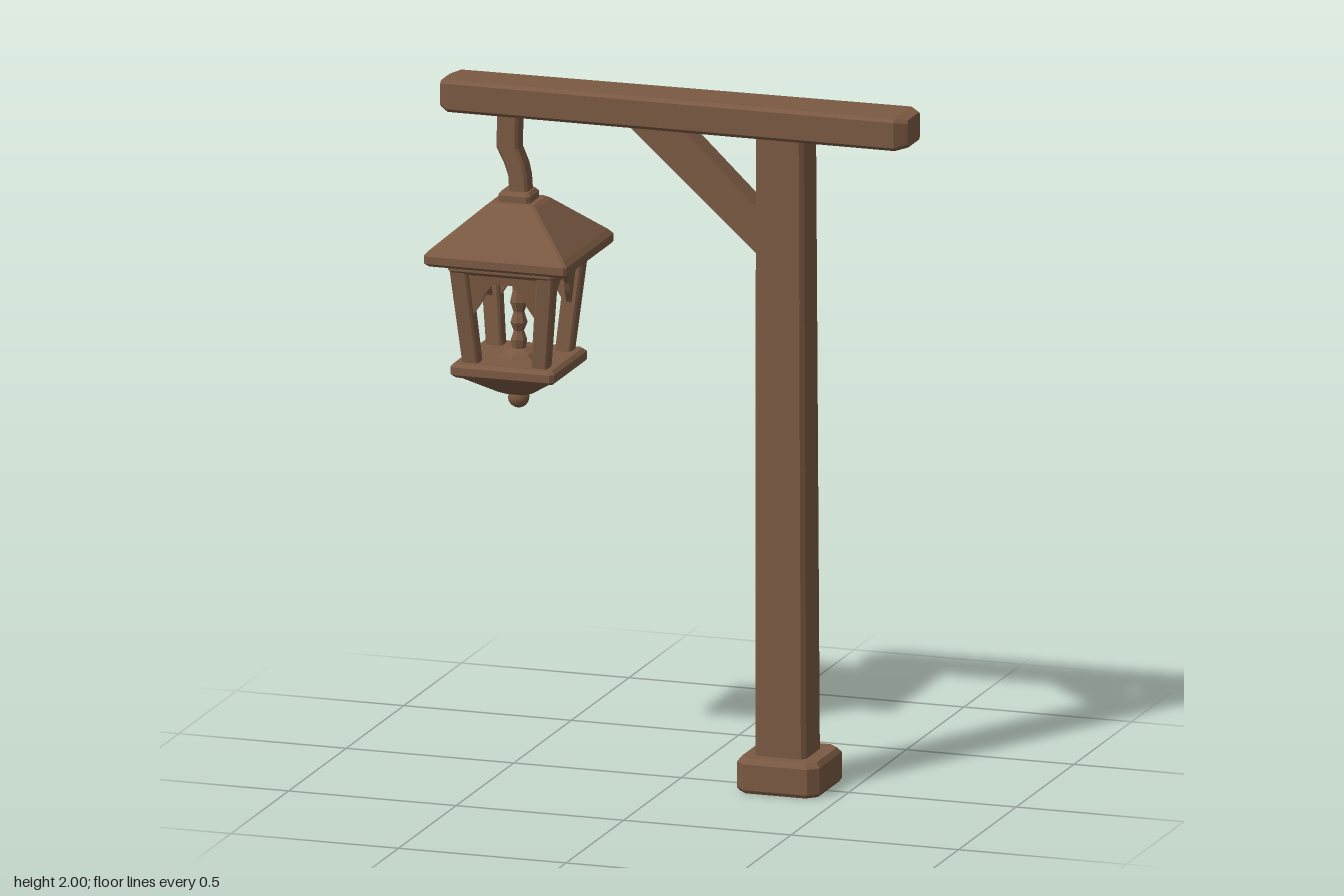
import * as THREE from 'three';

const wood = new THREE.MeshStandardMaterial({ color: 0x7a5942 });
wood.name = 'brown wood';

// Stacks cut-corner rectangles [y, centreX, centreZ, halfX, halfZ] into a closed, flat-faced solid
function loft(sections, cut = 0.012) {
  const rings = sections.map(([y, cx, cz, hx, hz]) => {
    const c = Math.min(cut, hx * 0.5, hz * 0.5);
    return [
      [hx, -hz + c], [hx, hz - c], [hx - c, hz], [-hx + c, hz],
      [-hx, hz - c], [-hx, -hz + c], [-hx + c, -hz], [hx - c, -hz],
    ].map(([x, z]) => [cx + x, y, cz + z]);
  });
  const pos = [];
  const tri = (a, b, c) => pos.push(...a, ...b, ...c);
  const middle = ([y, cx, cz]) => [cx, y, cz];
  const n = rings.length - 1;
  for (let k = 0; k < 8; k++) {
    const m = (k + 1) % 8;
    for (let i = 0; i < n; i++) {
      tri(rings[i][k], rings[i + 1][k], rings[i][m]);
      tri(rings[i][m], rings[i + 1][k], rings[i + 1][m]);
    }
    tri(middle(sections[0]), rings[0][k], rings[0][m]);
    tri(middle(sections[n]), rings[n][m], rings[n][k]);
  }
  const g = new THREE.BufferGeometry();
  g.setAttribute('position', new THREE.Float32BufferAttribute(pos, 3));
  g.computeVertexNormals();
  return g;
}

// Extrudes an outline in x and y, centred on z = 0
function plate(points, depth) {
  const shape = new THREE.Shape(points.map(([x, y]) => new THREE.Vector2(x, y)));
  return new THREE.ExtrudeGeometry(shape, { depth, bevelEnabled: false }).translate(0, 0, -depth / 2);
}

function add(parent, name, geometry) {
  const mesh = new THREE.Mesh(geometry, wood);
  mesh.name = name;
  parent.add(mesh);
  return mesh;
}

function createLantern() {
  const lantern = new THREE.Group();
  lantern.name = 'lantern';
  const square = (list, cut) => loft(list.map(([y, h]) => [y, 0, 0, h, h]), cut);

  // Crooked hanger and its collar
  add(lantern, 'hanger', loft([
    [1.66, 0.008, 0, 0.028, 0.03], [1.72, 0.004, 0, 0.028, 0.03], [1.755, -0.006, 0, 0.03, 0.03],
    [1.8, -0.027, 0, 0.032, 0.03], [1.91, -0.025, 0, 0.032, 0.03],
  ], 0.008));
  add(lantern, 'collar', square([[1.63, 0.043], [1.638, 0.048], [1.667, 0.048], [1.677, 0.04]], 0.01));

  // Hipped roof with a thick eave
  add(lantern, 'roof', square([
    [1.485, 0.205], [1.493, 0.213], [1.515, 0.213], [1.53, 0.2], [1.64, 0.075], [1.648, 0.062],
  ], 0.008));
  add(lantern, 'topFrame', square([[1.455, 0.15], [1.465, 0.16], [1.49, 0.16]], 0.01));

  // Corner posts leaning outwards
  for (const sx of [-1, 1]) {
    for (const sz of [-1, 1]) {
      add(lantern, 'cornerPost', loft([
        [1.18, sx * 0.102, sz * 0.102, 0.024, 0.024],
        [1.47, sx * 0.13, sz * 0.13, 0.026, 0.026],
      ], 0.006));
    }
  }

  // Arched brackets filling the top of each opening
  const arch = [
    [-0.12, 1.46], [-0.105, 1.31], [-0.088, 1.34], [-0.068, 1.37], [-0.055, 1.4], [-0.03, 1.43],
    [0.03, 1.43], [0.055, 1.4], [0.068, 1.37], [0.088, 1.34], [0.105, 1.31], [0.12, 1.46],
  ];
  const bracket = plate(arch, 0.016).translate(0, -1.46, 0).rotateX(0.096).translate(0, 1.46, 0.13);
  for (let i = 0; i < 4; i++) add(lantern, 'archBracket', bracket).rotation.y = i * Math.PI / 2;

  // Tray, tapered underside and drop
  add(lantern, 'tray', square([
    [1.085, 0.035], [1.095, 0.055], [1.148, 0.135], [1.152, 0.148], [1.16, 0.155],
    [1.182, 0.155], [1.192, 0.145],
  ], 0.012));
  add(lantern, 'drop', new THREE.SphereGeometry(0.031, 12, 8)).position.y = 1.071;

  // Rough candle on a rounded mound
  const wax = [
    [0, 1.185], [0.062, 1.19], [0.05, 1.205], [0.02, 1.215], [0.024, 1.24], [0.015, 1.265],
    [0.025, 1.29], [0.016, 1.32], [0.026, 1.35], [0.018, 1.385], [0.022, 1.41], [0, 1.435],
  ].map(([r, y]) => new THREE.Vector2(r, y));
  const candle = new THREE.LatheGeometry(wax, 7).toNonIndexed();
  candle.computeVertexNormals();
  add(lantern, 'candle', candle);

  lantern.position.x = -0.485;
  return lantern;
}

export function createModel() {
  const model = new THREE.Group();
  model.name = 'lanternPost';

  // Plinth with a hollow underside
  add(model, 'plinth', loft([
    [0.05, 0.318, -0.015, 0.065, 0.065], [0.03, 0.318, -0.015, 0.08, 0.08],
    [0, 0.318, -0.015, 0.09, 0.092], [0, 0.318, -0.015, 0.117, 0.12],
    [0.01, 0.318, -0.015, 0.123, 0.126], [0.085, 0.318, -0.015, 0.123, 0.126],
    [0.1, 0.318, -0.015, 0.112, 0.115],
  ], 0.028));

  // Slightly tapered upright
  add(model, 'post', loft([
    [0.06, 0.314, -0.011, 0.076, 0.071], [1.92, 0.312, -0.002, 0.072, 0.064],
  ], 0.012));

  // Crossbeam, lofted upwards and laid along x
  add(model, 'crossbeam', loft([
    [-0.697, -1.953, 0.02, 0.038, 0.048], [-0.67, -1.953, 0.02, 0.047, 0.07],
    [0.665, -1.953, 0.008, 0.047, 0.083], [0.697, -1.953, 0.008, 0.04, 0.056],
  ], 0.01).rotateZ(-Math.PI / 2));

  // Diagonal brace
  add(model, 'brace', plate([
    [-0.15, 1.915], [-0.15, 1.905], [0.25, 1.548], [0.25, 1.69], [0.23, 1.7], [0.02, 1.9], [0.02, 1.915],
  ], 0.075));

  model.add(createLantern());
  return model;
}
